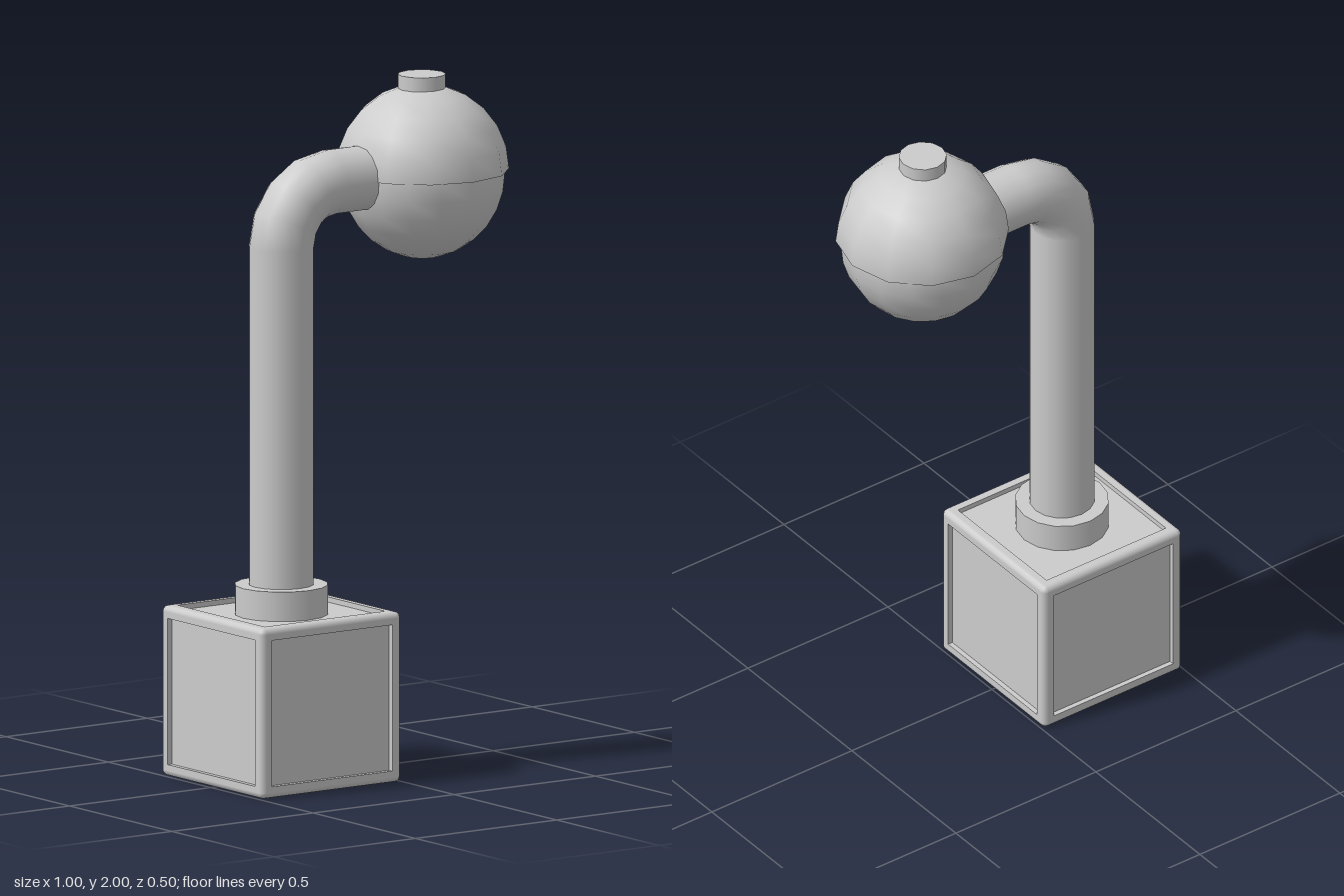
import * as THREE from 'three';

export function createModel() {
  const model = new THREE.Group();
  const grey = new THREE.MeshStandardMaterial({ color: 0xcccccc });
  grey.name = 'light grey';

  function add(parent, name, geometry, x = 0, y = 0, z = 0) {
    const mesh = new THREE.Mesh(geometry, grey);
    mesh.name = name;
    mesh.position.set(x, y, z);
    parent.add(mesh);
    return mesh;
  }

  // Base cube: a core with recessed panels inside a rounded frame
  const HALF = 0.248, EDGE = 0.0175, RIM = HALF - EDGE, DEPTH = 0.015;
  const POST_X = -0.25;
  const base = new THREE.Group();
  base.name = 'base';
  base.position.set(POST_X, HALF, 0);
  model.add(base);
  const core = 2 * (HALF - DEPTH);
  add(base, 'basePanels', new THREE.BoxGeometry(core, core, core));

  // Flat frame ring on each of the six faces
  const square = (path, h) => path.moveTo(-h, -h).lineTo(h, -h).lineTo(h, h).lineTo(-h, h).closePath();
  const ring = square(new THREE.Shape(), RIM);
  ring.holes.push(square(new THREE.Path(), RIM - EDGE));
  const ringGeometry = new THREE.ExtrudeGeometry(ring, { depth: EDGE, bevelEnabled: false });
  ringGeometry.translate(0, 0, RIM);
  const q = Math.PI / 2;
  for (const [rx, ry] of [[0, 0], [0, q], [0, 2 * q], [0, -q], [q, 0], [-q, 0]]) {
    add(base, 'frameRing', ringGeometry).rotation.set(rx, ry, 0);
  }

  // Rounded bar along each of the twelve edges
  const bar = new THREE.CapsuleGeometry(EDGE, 2 * RIM, 3, 12);
  for (const a of [-RIM, RIM]) {
    for (const b of [-RIM, RIM]) {
      add(base, 'frameEdge', bar, a, 0, b);
      add(base, 'frameEdge', bar, 0, a, b).rotation.z = q;
      add(base, 'frameEdge', bar, a, b, 0).rotation.x = q;
    }
  }

  // Collar and bent post
  const TUBE = 0.094, BEND = 0.17, ARM_Y = 1.72;
  add(model, 'collar', new THREE.CylinderGeometry(0.135, 0.135, 0.107, 16), POST_X, 0.5135, 0);
  const postTop = ARM_Y - BEND, postBottom = 0.5;
  add(model, 'post', new THREE.CylinderGeometry(TUBE, TUBE, postTop - postBottom, 16),
    POST_X, (postTop + postBottom) / 2, 0);
  const elbow = add(model, 'elbow', new THREE.TorusGeometry(BEND, TUBE, 16, 4, q), POST_X + BEND, postTop, 0);
  elbow.rotation.z = q;
  const armStart = POST_X + BEND, armEnd = 0.05;
  const arm = add(model, 'arm', new THREE.CylinderGeometry(TUBE, TUBE, armEnd - armStart, 16),
    (armStart + armEnd) / 2, ARM_Y, 0);
  arm.rotation.z = q;

  // Lamp globe: upper shell slightly overhanging the lower half
  const R = 0.25, GLOBE_X = 0.249;
  add(model, 'upperGlobe', new THREE.SphereGeometry(R, 12, 6, 0, 2 * Math.PI, 0, q), GLOBE_X, ARM_Y, 0);
  const rim = add(model, 'globeRim', new THREE.CircleGeometry(R, 12), GLOBE_X, ARM_Y, 0);
  rim.rotation.x = q;
  const lower = add(model, 'lowerGlobe',
    new THREE.SphereGeometry(0.24, 16, 7, 0, 2 * Math.PI, q, q), GLOBE_X, ARM_Y, 0);
  lower.scale.y = 0.255 / 0.24;

  // Cap on top of the globe
  add(model, 'cap', new THREE.CylinderGeometry(0.069, 0.069, 0.06, 12), GLOBE_X - 0.002, 1.97, 0);

  return model;
}
